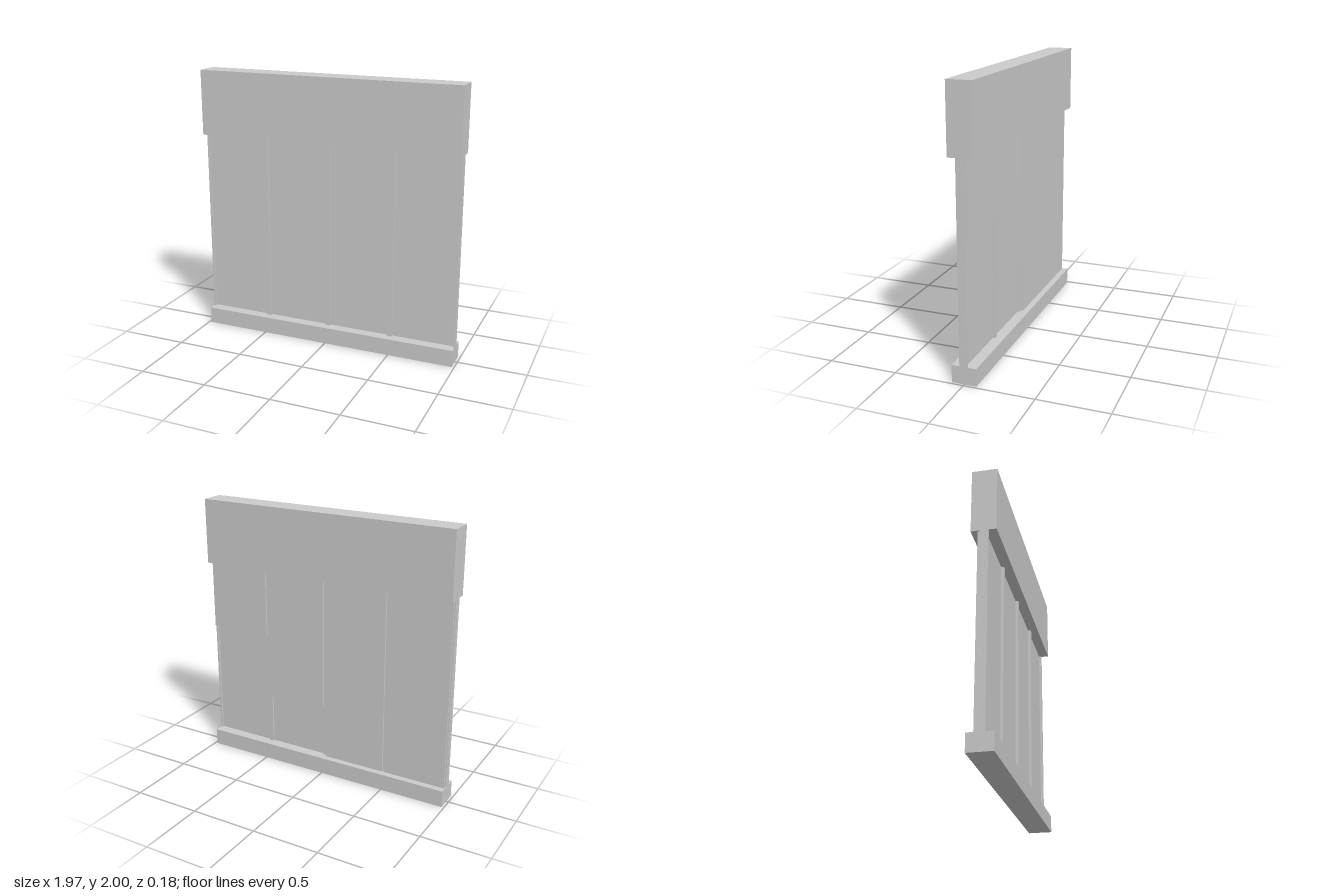
import * as THREE from 'three';

export function createModel() {
  const model = new THREE.Group();
  const material = new THREE.MeshStandardMaterial({ color: 0xcccccc, flatShading: true });

  // Box given by its low and high limits on each axis
  function box(name, [x0, x1], [y0, y1], [z0, z1]) {
    const mesh = new THREE.Mesh(new THREE.BoxGeometry(x1 - x0, y1 - y0, z1 - z0), material);
    mesh.position.set((x0 + x1) / 2, (y0 + y1) / 2, (z0 + z1) / 2);
    mesh.name = name;
    model.add(mesh);
  }

  const half = 0.982;
  const railDepth = [-0.088, 0.088];
  const railTop = 0.125;
  const headerBottom = 1.52;

  // Heavy beams above and below
  box('headerBeam', [-half, half], [headerBottom, 2], railDepth);
  box('sillBeam', [-half, half], [0, railTop], railDepth);

  // Thin sheet running into both beams
  box('coreSheet', [-half - 0.002, half + 0.002], [0.06, 1.9], [-0.01, 0.012]);

  // Studs, the outer two cut flush with the beam ends
  for (const x of [-0.987, -0.496, 0, 0.491, 0.987]) {
    const x0 = Math.max(x - 0.018, -half);
    const x1 = Math.min(x + 0.018, half);
    box('stud', [x0, x1], [0.002, headerBottom + 0.02], [-0.026, 0.032]);
  }

  // Cladding boards on the back, two of them cut short
  const boards = [
    { x: -0.737, bottom: railTop },
    { x: -0.249, bottom: railTop },
    { x: 0.249, bottom: 0.52 },
    { x: 0.739, bottom: 1.005 },
  ];
  for (const { x, bottom } of boards) {
    box('backBoard', [x - 0.237, x + 0.237], [bottom, headerBottom + 0.01], [-0.042, -0.026]);
  }

  return model;
}
